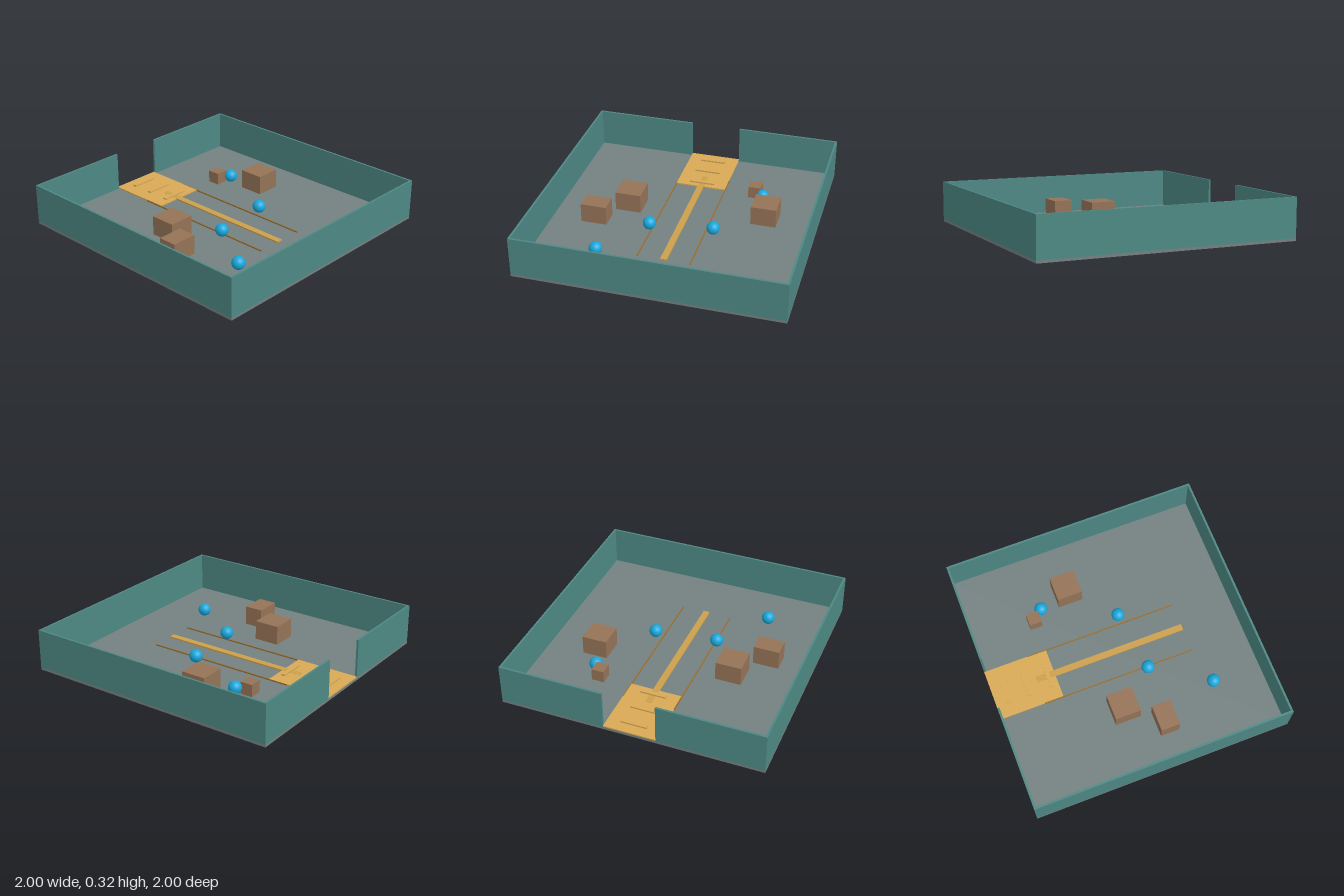
import * as THREE from 'three';

const mat = (color) => new THREE.MeshStandardMaterial({ color });

export function createModel() {
  const model = new THREE.Group();
  const grey = mat(0x748080), teal = mat(0x4d8884), gold = mat(0xd8aa55);
  const darkGold = mat(0xcca04c), railBrown = mat(0x9a7034);
  const brown = mat(0x957357), blue = mat(0x18a8dc);

  // Box given by its size, its centre in x and z, and the height of its underside
  const box = (name, material, [w, h, d], x, bottom, z) => {
    const mesh = new THREE.Mesh(new THREE.BoxGeometry(w, h, d), material);
    mesh.name = name;
    mesh.position.set(x, bottom + h / 2, z);
    model.add(mesh);
  };

  const floorTop = 0.02, wallHeight = 0.3, t = 0.016, gap = 0.4;

  // Floor slab and enclosing walls, with an opening in the back wall
  box('floor', grey, [2, floorTop, 2], 0, 0, 0);
  box('frontWall', teal, [2 - 2 * t, wallHeight, t], 0, floorTop, 1 - t / 2);
  for (const [side, s] of [['left', 1], ['right', -1]]) {
    box(side + 'Wall', teal, [t, wallHeight, 2], s * (1 - t / 2), floorTop, 0);
    const w = 1 - t - gap / 2;
    box(side + 'BackWall', teal, [w, wallHeight, t], s * (gap / 2 + w / 2), floorTop, -1 + t / 2);
    // Thin lane edge lines
    box(side + 'LaneLine', railBrown, [0.008, 0.01, 1.2], s * 0.2, floorTop, -0.05);
  }

  // Entrance pad with raised treads, and the central lane strip
  box('entrancePad', gold, [gap, 0.01, 0.5], 0, floorTop, -0.75);
  for (const z of [-0.555, -0.735, -0.905]) box('tread', gold, [0.2, 0.012, 0.03], 0, 0.03, z);
  box('laneStrip', darkGold, [0.05, 0.011, 1.2], 0, floorTop, -0.05);

  // Crates
  const crates = [
    [[0.2, 0.15, 0.2], -0.45, -0.11],
    [[0.2, 0.15, 0.145], -0.65, 0.147],
    [[0.195, 0.15, 0.195], 0.597, -0.185],
    [[0.097, 0.095, 0.097], 0.448, -0.503],
  ];
  for (const [size, x, z] of crates) box('crate', brown, size, x, floorTop, z);

  // Balls resting on the floor
  const ballGeometry = new THREE.SphereGeometry(0.05, 32, 20);
  for (const [x, z] of [[-0.5, 0.6], [-0.22, 0.177], [0.26, 0.117], [0.52, -0.423]]) {
    const ball = new THREE.Mesh(ballGeometry, blue);
    ball.name = 'ball';
    ball.position.set(x, floorTop + 0.05, z);
    model.add(ball);
  }

  return model;
}
